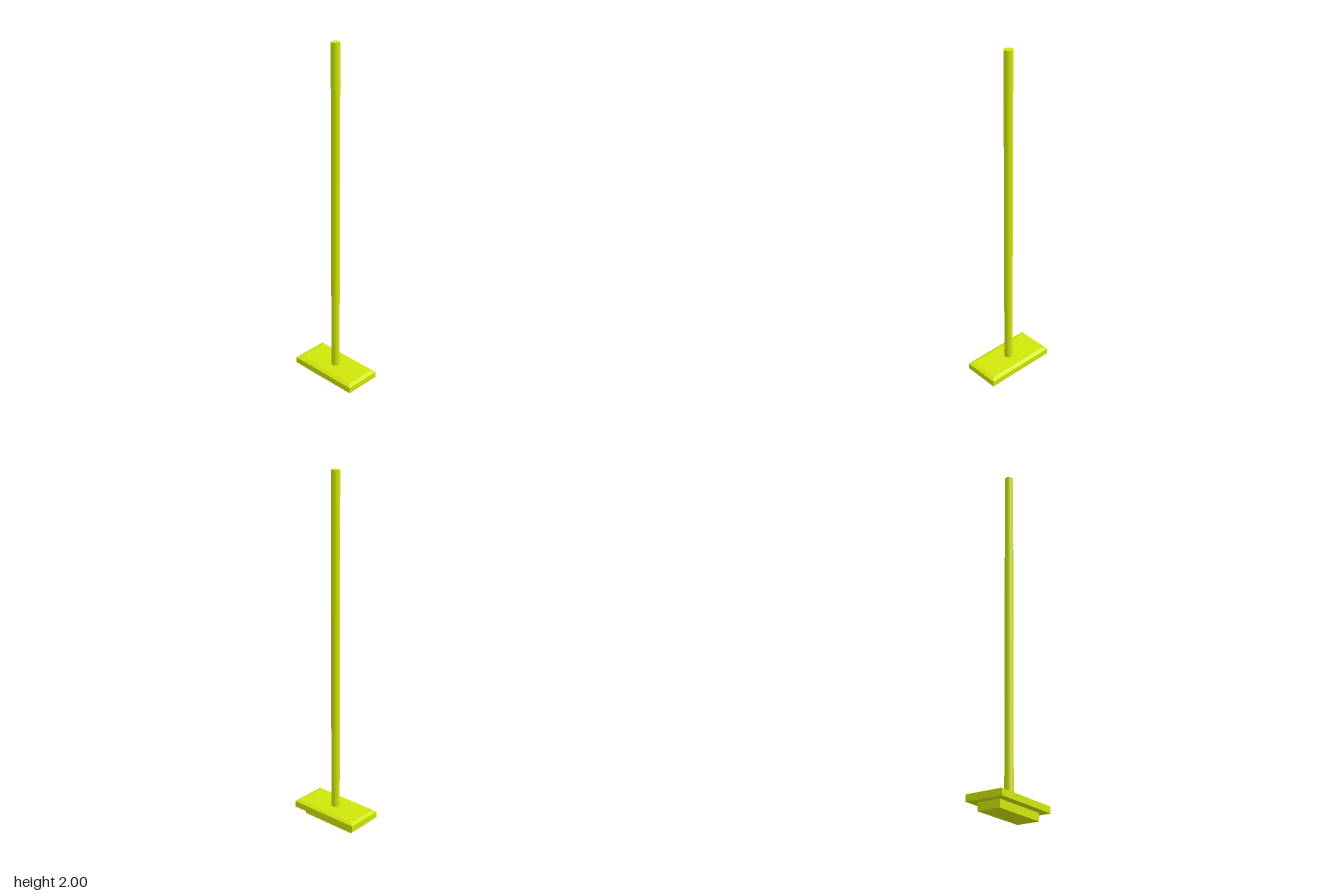
import * as THREE from 'three';

const material = new THREE.MeshStandardMaterial({ color: 0xd0e60a });

function addPart(group, name, geometry, y) {
  const mesh = new THREE.Mesh(geometry, material);
  mesh.name = name;
  mesh.position.y = y;
  group.add(mesh);
}

// Box whose top face is inset on all four sides
function taperedBox(width, height, depth, inset) {
  const geometry = new THREE.BoxGeometry(width, height, depth).toNonIndexed();
  const p = geometry.attributes.position;
  for (let i = 0; i < p.count; i++) {
    if (p.getY(i) > 0) {
      p.setX(i, p.getX(i) - Math.sign(p.getX(i)) * inset);
      p.setZ(i, p.getZ(i) - Math.sign(p.getZ(i)) * inset);
    }
  }
  geometry.computeVertexNormals();
  return geometry;
}

export function createModel() {
  const group = new THREE.Group();
  group.name = 'broom';

  // Narrower block that rests on the floor
  addPart(group, 'bristleBlock', new THREE.BoxGeometry(0.346, 0.044, 0.132), 0.022);

  // Wide head with a bevelled top edge
  addPart(group, 'head', new THREE.BoxGeometry(0.434, 0.036, 0.217), 0.062);
  addPart(group, 'headBevel', taperedBox(0.434, 0.009, 0.217, 0.021), 0.0845);

  // Long round handle
  addPart(group, 'handle', new THREE.CylinderGeometry(0.024, 0.024, 1.915, 32), 1.0425);

  return group;
}
